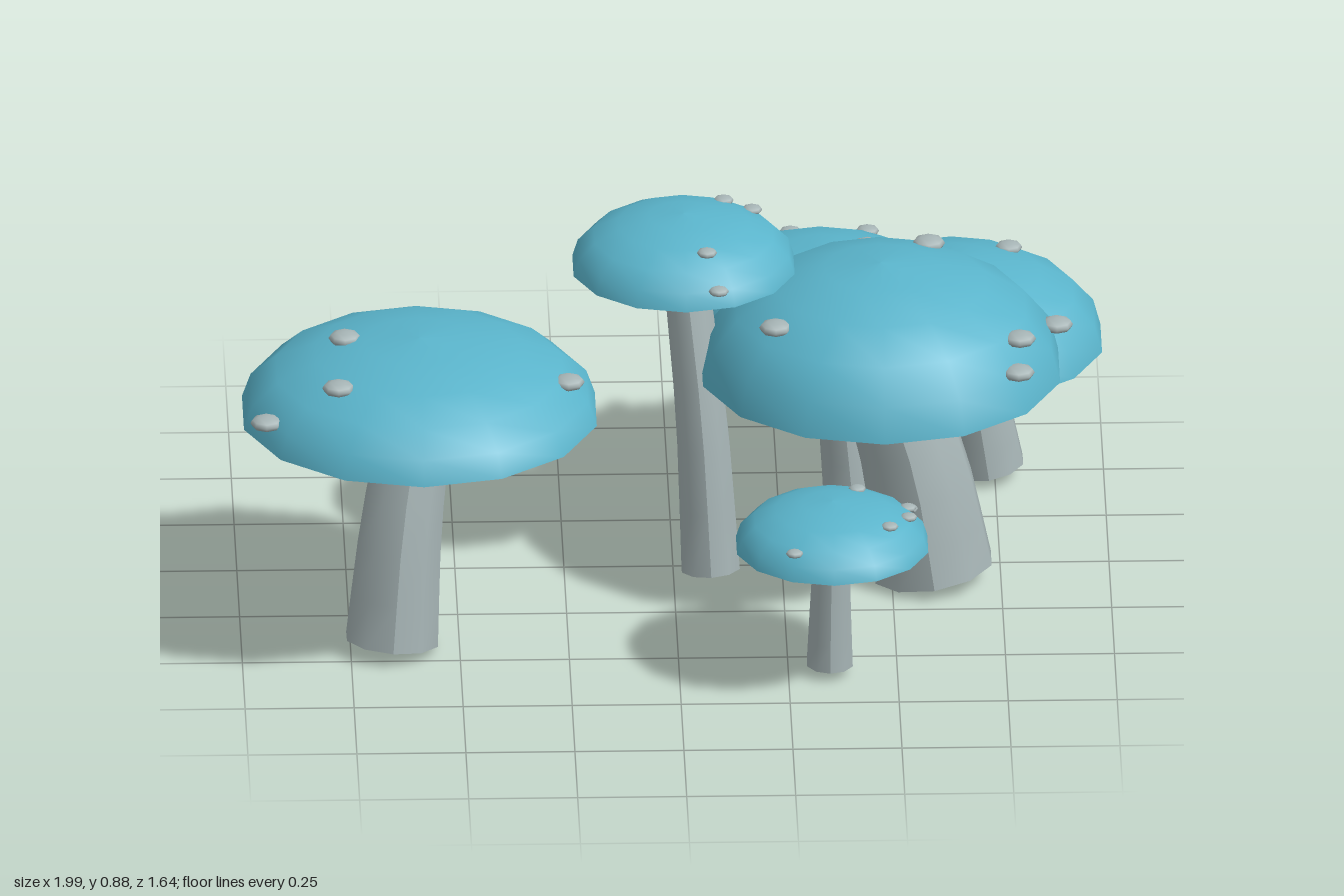
import * as THREE from 'three';

const capTeal = new THREE.MeshStandardMaterial({ color: 0x5ab4cb });
capTeal.name = 'cap teal';
const stemGrey = new THREE.MeshStandardMaterial({ color: 0xa6b4b5 });
stemGrey.name = 'stem grey';

const SIDES = 14;

// Tapered stem: a cylinder whose rings follow a path that leans over towards the cap
function stemGeometry(m) {
  const foot = new THREE.Vector3(m.footX, 0.025, m.footZ);
  const head = new THREE.Vector3(m.x, m.rim + 0.02, m.z);
  const bend = foot.clone().lerp(head, 0.35);
  bend.y = (foot.y + head.y) / 2;
  const path = new THREE.CatmullRomCurve3([foot, bend, head]);

  const geo = new THREE.CylinderGeometry(m.stem * 0.75, m.stem, 1, 10, 5);
  const pos = geo.attributes.position;
  const p = new THREE.Vector3(), q = new THREE.Quaternion(), up = new THREE.Vector3(0, 1, 0);
  for (let i = 0; i < pos.count; i++) {
    p.fromBufferAttribute(pos, i);
    const t = THREE.MathUtils.clamp(p.y + 0.5, 0, 1);
    p.y = 0;
    p.applyQuaternion(q.setFromUnitVectors(up, path.getTangent(t))).add(path.getPoint(t));
    pos.setXYZ(i, p.x, p.y, p.z);
  }
  geo.computeVertexNormals();
  return geo;
}

// x, z, r: cap centre and radius; rim, height: cap base and dome height;
// stem: foot radius; spots: [x, z] pairs seen from above
function makeMushroom(name, m) {
  const group = new THREE.Group();
  group.name = name;
  const add = (part, geo, mat) => {
    const mesh = new THREE.Mesh(geo, mat);
    mesh.name = part;
    group.add(mesh);
    return mesh;
  };

  add('stem', stemGeometry(m), stemGrey);

  // Domed cap: quarter ellipse turned about the vertical
  const profile = [];
  for (let i = 0; i <= 5; i++) {
    const a = (i / 5) * Math.PI / 2;
    profile.push(new THREE.Vector2(i === 5 ? 0 : m.r * Math.cos(a), m.height * Math.sin(a)));
  }
  add('cap', new THREE.LatheGeometry(profile, SIDES), capTeal).position.set(m.x, m.rim, m.z);

  // Shallow hollow underside
  const under = [new THREE.Vector2(0, m.height * 0.1), new THREE.Vector2(m.r, 0)];
  add('capUnderside', new THREE.LatheGeometry(under, SIDES), stemGrey).position.set(m.x, m.rim, m.z);

  // Flattened spots resting on the dome, sized with the cap
  for (const [x, z] of m.spots) {
    const d = Math.min(Math.hypot(x - m.x, z - m.z) / m.r, 0.95);
    const spot = add('spot', new THREE.SphereGeometry(0.09 * m.r, 8, 6), stemGrey);
    spot.scale.y = 0.45;
    spot.position.set(x, m.rim + m.height * Math.sqrt(1 - d * d), z);
  }
  return group;
}

export function createModel() {
  const model = new THREE.Group();
  model.name = 'mushroomCluster';

  model.add(makeMushroom('wideLoneMushroom', {
    x: -0.59, z: 0.34, r: 0.415, rim: 0.56, height: 0.185, footX: -0.655, footZ: 0.43, stem: 0.11,
    spots: [[-0.76, 0.3], [-0.78, 0.52], [-0.945, 0.52], [-0.25, 0.41]],
  }));
  model.add(makeMushroom('tallMushroom', {
    x: 0.025, z: -0.03, r: 0.26, rim: 0.75, height: 0.13, footX: 0.085, footZ: 0.06, stem: 0.07,
    spots: [[0.12, -0.155], [0.185, -0.14], [0.075, 0.125], [0.1, 0.205]],
  }));
  model.add(makeMushroom('largeMushroom', {
    x: 0.475, z: 0.045, r: 0.42, rim: 0.52, height: 0.265, footX: 0.595, footZ: 0.07, stem: 0.142,
    spots: [[0.235, -0.27], [0.455, -0.31], [0.59, -0.14], [0.88, 0], [0.23, 0.22], [0.79, 0.205], [0.785, 0.285]],
  }));
  model.add(makeMushroom('smallFrontMushroom', {
    x: 0.35, z: 0.595, r: 0.225, rim: 0.33, height: 0.11, footX: 0.345, footZ: 0.585, stem: 0.055,
    spots: [[0.41, 0.5], [0.53, 0.48], [0.525, 0.535], [0.525, 0.6], [0.48, 0.675], [0.26, 0.765]],
  }));
  model.add(makeMushroom('middleBackMushroom', {
    x: 0.35, z: -0.345, r: 0.3, rim: 0.5, height: 0.14, footX: 0.42, footZ: -0.325, stem: 0.07,
    spots: [[0.285, -0.61], [0.46, -0.56]],
  }));
  model.add(makeMushroom('lowBackMushroom', {
    x: 0.655, z: -0.475, r: 0.348, rim: 0.345, height: 0.205, footX: 0.735, footZ: -0.48, stem: 0.085,
    spots: [[0.785, -0.595]],
  }));
  model.add(makeMushroom('hiddenBackMushroom', {
    x: 0.43, z: -0.52, r: 0.238, rim: 0.385, height: 0.12, footX: 0.43, footZ: -0.51, stem: 0.06,
    spots: [],
  }));
  return model;
}
